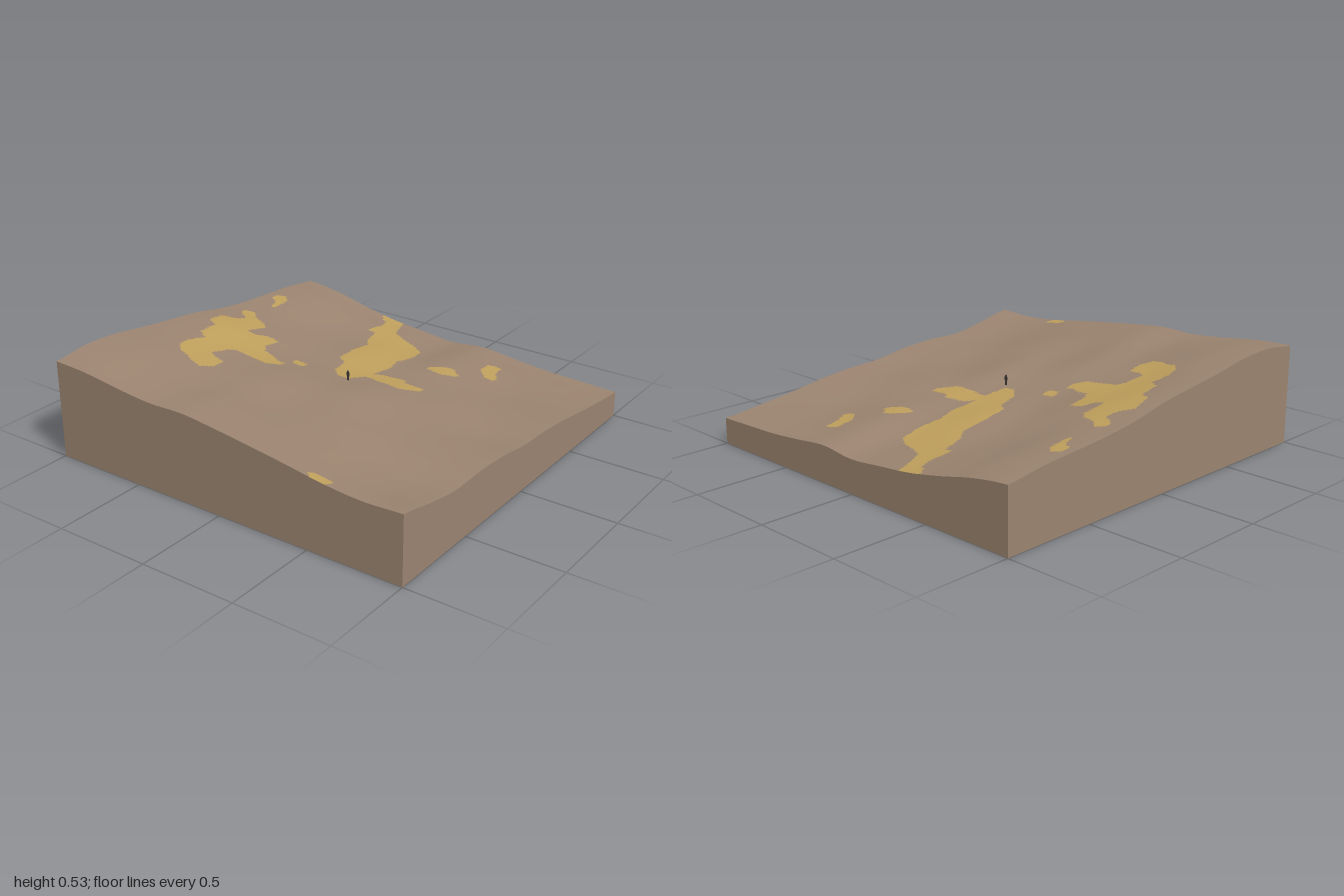
import * as THREE from 'three';

const N = 160; // cells along each side of the ground

const rock = new THREE.MeshStandardMaterial({ color: 0x9b8470, side: THREE.DoubleSide });
rock.name = 'brown rock';
const sand = new THREE.MeshStandardMaterial({ color: 0xbfa05c, side: THREE.DoubleSide });
sand.name = 'yellow sand';
const dark = new THREE.MeshStandardMaterial({ color: 0x3a3532 });
dark.name = 'dark cloth';

// Evenly spaced heights along each edge, from -1 to 1
const profile = (hs) => {
  const curve = new THREE.SplineCurve(hs.map((h, i) => new THREE.Vector2(i, h)));
  return (t) => curve.getPoint(THREE.MathUtils.clamp(t, 0, 1)).y;
};
const front = profile([.51, .50, .475, .457, .46, .44, .415, .387, .357, .342, .35]);
const back = profile([.32, .295, .25, .212, .19, .172, .188, .168, .15, .142, .135]);
const leftEdge = profile([.135, .155, .18, .21, .23, .24, .268, .28, .278, .31, .35]); // x = 1
const rightEdge = profile([.32, .345, .36, .375, .40, .44, .465, .49, .52, .53, .51]); // x = -1

// Ground height: the four edges blended inward, plus soft ripples that fade at the rim
function height(x, z) {
  const u = (x + 1) / 2, v = (z + 1) / 2;
  const acrossX = (1 - u) * rightEdge(v) + u * leftEdge(v);
  const acrossZ = (1 - v) * back(u) + v * front(u);
  const corners = (1 - v) * ((1 - u) * .32 + u * .135) + v * ((1 - u) * .51 + u * .35);
  const fade = Math.max(0, (1 - x * x) * (1 - z * z));
  const ripple = .006 * Math.sin(5 * x + 9 * z) + .004 * Math.sin(11 * x - 6 * z + 1);
  return acrossX + acrossZ - corners + fade * (ripple - .014);
}

// Outlines of the sand patches, as x, z pairs
const centrePatch = [
  [-.47, -1.1], [-.47, -1], [-.43, -.94], [-.4, -.93], [-.38, -.86], [-.39, -.73], [-.34, -.73], [-.3, -.6],
  [-.25, -.53], [-.25, -.4], [-.23, -.25], [-.17, -.2], [-.14, -.08], [-.08, -.02], [-.02, -.03],
  [.01, -.14], [.08, -.13], [.18, -.12], [.23, -.12], [.31, -.18], [.31, -.22], [.2, -.22],
  [.18, -.25], [.06, -.24], [.01, -.2], [.02, -.35], [-.01, -.45], [0, -.6], [-.02, -.7],
  [-.08, -.75], [-.14, -.77], [-.26, -.82], [-.29, -.88], [-.33, -1], [-.33, -1.1]];
const sidePatch = [
  [-.91, -.3], [-.86, -.32], [-.8, -.26], [-.72, -.23], [-.69, -.2], [-.7, -.06], [-.65, -.06],
  [-.61, -.11], [-.58, -.12], [-.53, -.11], [-.53, 0], [-.49, .05], [-.42, .06], [-.38, .09],
  [-.33, .08], [-.33, .13], [-.38, .18], [-.57, .18], [-.6, .22], [-.61, .32], [-.57, .35],
  [-.5, .36], [-.49, .45], [-.53, .51], [-.59, .5], [-.64, .47], [-.7, .46], [-.75, .4],
  [-.77, .33], [-.75, .22], [-.81, .18], [-.83, .05], [-.89, .02], [-.91, -.1], [-.85, -.14],
  [-.83, -.2], [-.91, -.26]];
const smallPatches = [
  [[-.95, -.63], [-.9, -.65], [-.86, -.6], [-.85, -.47], [-.87, -.47], [-.89, -.54], [-.95, -.58]],
  [[.35, -.8], [.38, -.81], [.42, -.81], [.44, -.72], [.48, -.66], [.47, -.63], [.42, -.63], [.36, -.7]],
  [[.16, -.5], [.24, -.57], [.28, -.57], [.33, -.52], [.33, -.5], [.26, -.46], [.17, -.47]],
  [[-.34, 0], [-.33, -.02], [-.27, -.02], [-.26, .02], [-.28, .04], [-.32, .04]],
  [[.49, .97], [.51, .95], [.61, .95], [.61, .98], [.59, 1.02], [.53, 1.02]]];
const patches = [centrePatch, sidePatch, ...smallPatches];

function inside(poly, x, z) {
  let odd = false;
  for (let i = 0, j = poly.length - 1; i < poly.length; j = i++) {
    const [ax, az] = poly[i], [bx, bz] = poly[j];
    if ((az > z) !== (bz > z) && x < (bx - ax) * (z - az) / (bz - az) + ax) odd = !odd;
  }
  return odd;
}

// One smooth ground surface whose faces are sorted into rock and sand
function makeGround() {
  const geo = new THREE.PlaneGeometry(2, 2, N, N).rotateX(-Math.PI / 2);
  const p = geo.attributes.position;
  for (let i = 0; i < p.count; i++) p.setY(i, height(p.getX(i), p.getZ(i)));
  geo.computeVertexNormals();
  const rockFaces = [], sandFaces = [], idx = geo.index.array;
  for (let i = 0; i < idx.length; i += 3) {
    const tri = [idx[i], idx[i + 1], idx[i + 2]];
    const x = tri.reduce((s, k) => s + p.getX(k), 0) / 3;
    const z = tri.reduce((s, k) => s + p.getZ(k), 0) / 3;
    (patches.some((poly) => inside(poly, x, z)) ? sandFaces : rockFaces).push(...tri);
  }
  geo.setIndex([...rockFaces, ...sandFaces]);
  geo.addGroup(0, rockFaces.length, 0);
  geo.addGroup(rockFaces.length, sandFaces.length, 1);
  const mesh = new THREE.Mesh(geo, [rock, sand]);
  mesh.name = 'ground';
  return mesh;
}

// Side wall from y = 0 up to the ground; the underside stays open
function makeWall(name, turn) {
  const geo = new THREE.PlaneGeometry(2, 2, N, 1).translate(0, 0, 1).rotateY(turn);
  const p = geo.attributes.position;
  for (let i = 0; i < p.count; i++) p.setY(i, p.getY(i) > 0 ? height(p.getX(i), p.getZ(i)) : 0);
  const mesh = new THREE.Mesh(geo, rock);
  mesh.name = name;
  return mesh;
}

// Tiny standing figure that gives the scale
function makeFigure() {
  const figure = new THREE.Group();
  figure.name = 'figure';
  const add = (name, geo, x, y) => {
    const mesh = new THREE.Mesh(geo, dark);
    mesh.name = name;
    mesh.position.set(x, y, 0);
    figure.add(mesh);
  };
  for (const [side, s] of [['left', 1], ['right', -1]]) {
    add(side + 'Leg', new THREE.CylinderGeometry(.0025, .002, .025, 8), s * .003, .0125);
    add(side + 'Arm', new THREE.CylinderGeometry(.0015, .0015, .019, 8), s * .0075, .034);
  }
  add('torso', new THREE.CylinderGeometry(.006, .005, .02, 10), 0, .034);
  add('head', new THREE.SphereGeometry(.005, 12, 8), 0, .049);
  figure.position.y = height(0, 0);
  return figure;
}

export function createModel() {
  const model = new THREE.Group();
  model.name = 'terrainBlock';
  model.add(makeGround());
  ['frontWall', 'leftWall', 'backWall', 'rightWall'].forEach((name, i) => model.add(makeWall(name, i * Math.PI / 2)));
  model.add(makeFigure());
  return model;
}
